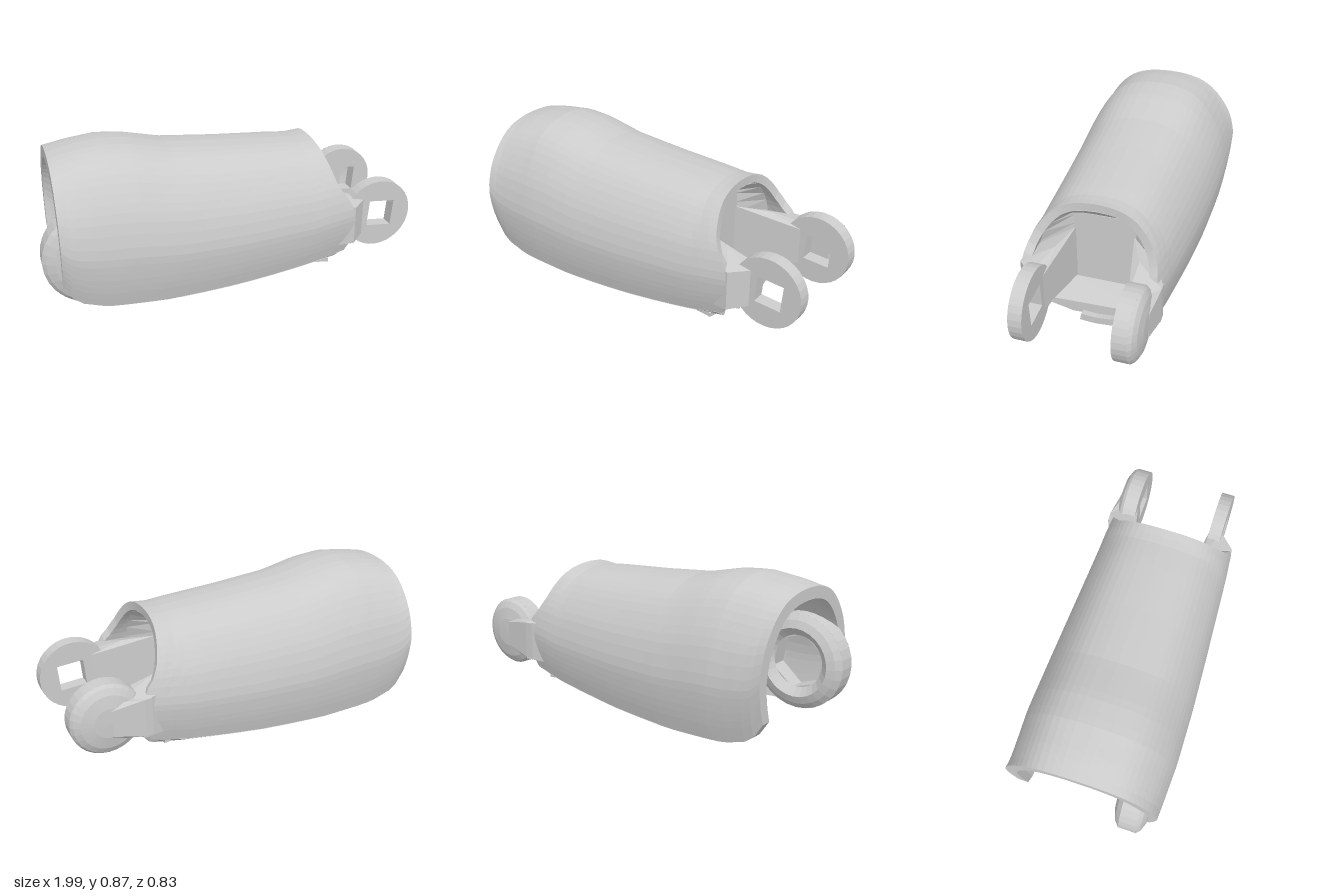
import * as THREE from 'three';
import { ConvexGeometry } from 'three/addons/geometries/ConvexGeometry.js';

const grey = new THREE.MeshStandardMaterial({ color: 0xcccccc, flatShading: true, side: THREE.DoubleSide });

function part(name, geometry, parent) {
  const mesh = new THREE.Mesh(geometry, grey);
  mesh.name = name;
  parent.add(mesh);
  return mesh;
}

// Piecewise linear lookup in [[key, value], ...]
function lookup(table, k) {
  if (k <= table[0][0]) return table[0][1];
  for (let i = 1; i < table.length; i++) {
    const [a, b] = [table[i - 1], table[i]];
    if (k <= b[0]) return a[1] + (b[1] - a[1]) * (k - a[0]) / (b[0] - a[0]);
  }
  return table[table.length - 1][1];
}

// Closed thick sheet between two surfaces p(u, v, side), side 0 outer, 1 inner
function thickSheet(p, nu, nv) {
  const pos = [], idx = [], row = nv + 1, layer = (nu + 1) * row;
  for (let s = 0; s < 2; s++)
    for (let i = 0; i <= nu; i++)
      for (let j = 0; j <= nv; j++) pos.push(...p(i / nu, j / nv, s));
  const at = (i, j, s) => s * layer + i * row + j;
  const quad = (a, b, c, d) => idx.push(a, b, c, a, c, d);
  for (let i = 0; i < nu; i++)
    for (let j = 0; j < nv; j++) {
      quad(at(i, j, 0), at(i, j + 1, 0), at(i + 1, j + 1, 0), at(i + 1, j, 0));
      quad(at(i, j, 1), at(i + 1, j, 1), at(i + 1, j + 1, 1), at(i, j + 1, 1));
    }
  for (let i = 0; i < nu; i++) {
    quad(at(i, 0, 0), at(i + 1, 0, 0), at(i + 1, 0, 1), at(i, 0, 1));
    quad(at(i, nv, 0), at(i, nv, 1), at(i + 1, nv, 1), at(i + 1, nv, 0));
  }
  for (let j = 0; j < nv; j++) {
    quad(at(0, j, 0), at(0, j, 1), at(0, j + 1, 1), at(0, j + 1, 0));
    quad(at(nu, j, 0), at(nu, j + 1, 0), at(nu, j + 1, 1), at(nu, j, 1));
  }
  const g = new THREE.BufferGeometry();
  g.setAttribute('position', new THREE.Float32BufferAttribute(pos, 3));
  g.setIndex(idx);
  g.computeVertexNormals();
  return g;
}

// Body profile along x
const top = [[-0.91, 0.82], [-0.8, 0.847], [-0.64, 0.867], [-0.5, 0.855], [-0.3, 0.81], [0, 0.785], [0.3, 0.768], [0.42, 0.758], [0.49, 0.768], [0.65, 0.76]];
const bottom = [[-0.91, 0.25], [-0.88, 0.19], [-0.82, 0.145], [-0.7, 0.11], [-0.4, 0.095], [-0.2, 0.1], [0, 0.11], [0.2, 0.13], [0.4, 0.155], [0.65, 0.21]];
const halfWidth = [[-0.91, 0.405], [-0.6, 0.417], [-0.3, 0.41], [0, 0.395], [0.5, 0.365], [0.65, 0.35]];
const thickness = [[-0.91, 0.06], [0.5, 0.042]];
// Half cross-section: [height, width] as fractions
const section = new THREE.CatmullRomCurve3([[0, 0.9], [0.13, 0.955], [0.26, 0.99], [0.39, 1], [0.59, 0.93], [0.73, 0.82], [0.86, 0.66], [0.94, 0.485], [0.987, 0.25], [1, 0]]
  .map(([h, w]) => new THREE.Vector3(w, h, 0)));
// End of the body in x, by height fraction
const endX = [[0, 0.6], [0.12, 0.64], [0.48, 0.63], [0.6, 0.575], [0.72, 0.54], [1, 0.49]];

function bodyPoint(u, v, s) {
  const side = u <= 0.5 ? 1 : -1;
  const c = section.getPoint(1 - Math.abs(u - 0.5) * 2);
  const x = -0.91 + v * (lookup(endX, c.y) + 0.91);
  const wall = s * lookup(thickness, x);
  const b = lookup(bottom, x), t = lookup(top, x) - wall;
  return [x, b + c.y * (t - b), side * c.x * (lookup(halfWidth, x) - wall)];
}

// Underside panel, curving up to meet the lower edges of the body; w is the side fraction
const belly = [[0, 0], [0.27, 0.06], [0.54, 0.22], [0.8, 0.58], [1, 1]];
function bellyPanel(w0, w1, x0, x1) {
  return thickSheet((u, v, s) => {
    const w = w0 + u * (w1 - w0), x = x0 + v * (x1 - x0);
    const low = (x + 0.31) * 0.075, edge = lookup(bottom, x);
    const z = w * (lookup(halfWidth, x) * 0.905 - s * 0.03);
    return [x, low + lookup(belly, Math.abs(w)) * (edge - low) + s * 0.04, z];
  }, 14, 6);
}

// Round hinge plate with an angular hole, extruded along z
function hingePlate(cx, cy, r, z, depth, holeR, holeSides, holeX) {
  const shape = new THREE.Shape().absarc(cx, cy, r, 0, Math.PI * 2);
  const pts = [];
  for (let i = 0; i < holeSides; i++) {
    const a = Math.PI / 4 - 0.08 - i * Math.PI * 2 / holeSides;
    pts.push(new THREE.Vector2(cx + holeX + holeR * Math.cos(a), cy + holeR * Math.sin(a)));
  }
  shape.holes.push(new THREE.Path(pts));
  return new THREE.ExtrudeGeometry(shape, { depth, bevelEnabled: false, curveSegments: 16 }).translate(0, 0, z);
}

// Lathe around the z axis from [radius, height] points, facing +z or -z
function turned(cx, cy, z, profile, dir) {
  const pts = profile.map(p => new THREE.Vector2(...p));
  return new THREE.LatheGeometry(pts, 28).rotateX(dir * Math.PI / 2).translate(cx, cy, z);
}
const domeProfile = (r, h) => [[r, 0], [r * 0.93, h * 0.35], [r * 0.76, h * 0.7], [r * 0.42, h * 0.95], [0, h]];

const hull = pts => new ConvexGeometry(pts.map(p => new THREE.Vector3(...p)));

export function createModel() {
  const model = new THREE.Group();
  model.name = 'fingerSegment';

  part('bodyShell', thickSheet(bodyPoint, 44, 32), model);

  // Underside: main panel, then a strip and edge leaving a slot beside it
  part('undersidePanel', bellyPanel(-1, 0.25, -0.31, 0.555), model);
  part('undersideStrip', bellyPanel(0.25, 1, -0.31, -0.2), model);
  part('undersideEdge', bellyPanel(0.76, 1, -0.2, 0.57), model);

  // Recess in the hinge end: sloping sides, end wall and floor
  const clamp = THREE.MathUtils.clamp;
  part('recessSides', thickSheet((u, v, s) => {
    const [, y, z] = bodyPoint(u, 0.95, 1);
    return [
      0.48 - v * 0.12 - s * 0.02,
      y + v * (clamp(y, 0.2, 0.61) - y),
      z + v * (clamp(z, -0.16, 0.16) - z)];
  }, 24, 1), model);
  part('recessWall', new THREE.BoxGeometry(0.04, 0.43, 0.33).translate(0.35, 0.4, 0), model);
  part('recessFloor', hull([[-0.31, 0.15], [-0.15, 0.1], [0.13, 0.09], [0.3, 0.13]].flatMap(([z, y]) =>
    [[0.34, 0.21, z], [0.34, y + 0.02, z], [0.52, y + 0.02, z], [0.52, y, z]])), model);

  // Hinge lugs, each with a neck running back into the recess
  for (const [name, dir, inner, outer] of [['leftLug', 1, 0.2, 0.27], ['rightLug', -1, 0.23, 0.305]]) {
    const lug = new THREE.Group();
    lug.name = name;
    model.add(lug);
    part('lugPlate', hingePlate(0.81, 0.367, 0.187, dir > 0 ? inner : -outer, outer - inner, 0.1, 4, 0.015), lug);
    const tip = dir > 0 ? 0.35 : 0.372;
    part('lugNeck', hull([
      [0.37, 0.21, dir * 0.155], [0.37, 0.52, dir * 0.155],
      [0.54, 0.22, dir * inner], [0.54, 0.51, dir * inner],
      [0.5, 0.24, dir * 0.33], [0.5, 0.46, dir * 0.33],
      [0.64, 0.25, dir * tip], [0.64, 0.46, dir * tip],
      [0.72, 0.26, dir * inner], [0.72, 0.46, dir * inner],
      [0.72, 0.26, dir * outer], [0.72, 0.46, dir * outer]]), lug);
  }
  // The right lug is closed by a dome that blends back into the neck
  part('rightLugCap', turned(0.81, 0.367, -0.305, domeProfile(0.187, 0.05), -1), model);
  part('rightLugCheek', hull([0.26, 0.46].flatMap(y =>
    [[0.6, y, -0.37], [0.64, y, -0.372], [0.8, y + (0.36 - y) * 0.3, -0.355], [0.6, y, -0.31], [0.85, y, -0.31]])), model);

  // Socket disc inside the open end, domed on both faces and joined to the side wall
  const socket = new THREE.Group();
  socket.name = 'socketDisc';
  model.add(socket);
  const [cx, cy, r] = [-0.745, 0.37, 0.252];
  part('socketPlate', hingePlate(cx, cy, r, 0.225, 0.095, 0.15, 6, 0), socket);
  part('socketCap', turned(cx, cy, 0.32, domeProfile(r, 0.05), 1), socket);
  part('socketRim', turned(cx, cy, 0.225, [[r, 0], [r * 0.88, 0.025], [r * 0.72, 0.04], [r * 0.55, 0]], -1), socket);
  part('socketMount', hull([0.24, 0.36].flatMap(z => [[-0.56, 0.18, z], [-0.56, 0.55, z], [-0.34, 0.22, z], [-0.34, 0.46, z]])), socket);
  return model;
}
